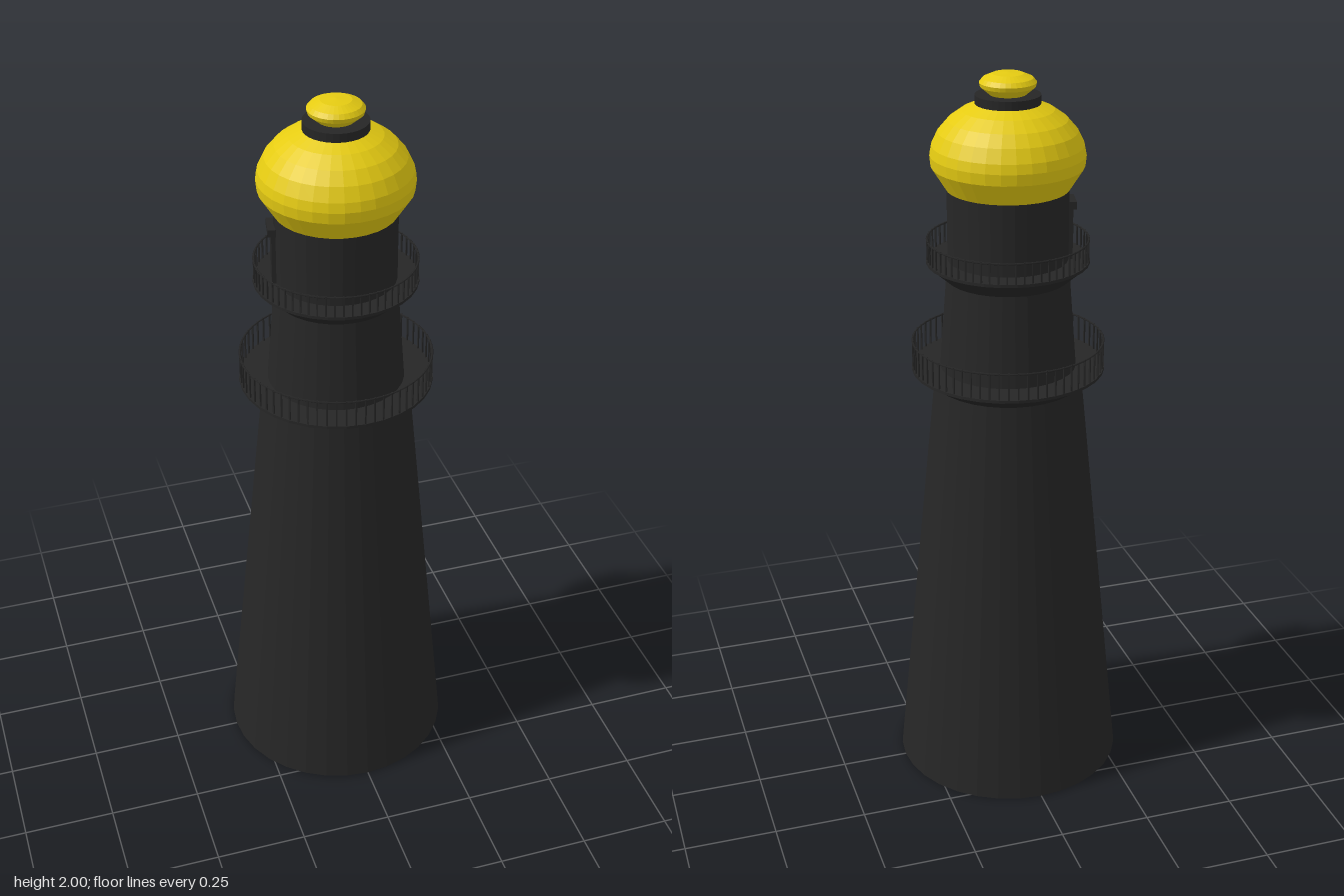
import * as THREE from 'three';
import { mergeGeometries } from 'three/addons/utils/BufferGeometryUtils.js';

const SIDES = 32;

// Faceted solid of revolution from [radius, y] pairs, listed bottom to top
function turned(profile) {
  const points = profile.map(([r, y]) => new THREE.Vector2(r, y));
  const geometry = new THREE.LatheGeometry(points, SIDES).toNonIndexed();
  geometry.computeVertexNormals();
  return geometry;
}

// Ring of slim balusters under a handrail
function railing(radius, bottom, top, count) {
  const parts = [];
  const height = top - bottom;
  for (let i = 0; i < count; i++) {
    const post = new THREE.BoxGeometry(0.004, height, 0.004);
    post.translate(0, bottom + height / 2, radius);
    post.rotateY((i / count) * Math.PI * 2);
    parts.push(post);
  }
  const rail = new THREE.TorusGeometry(radius, 0.003, 4, 64);
  rail.rotateX(Math.PI / 2);
  rail.translate(0, top - 0.003, 0);
  parts.push(rail);
  return mergeGeometries(parts);
}

export function createModel() {
  const model = new THREE.Group();
  model.name = 'lighthouse';

  const black = new THREE.MeshStandardMaterial({ color: 0x262626 });
  black.name = 'black paint';
  const yellow = new THREE.MeshStandardMaterial({ color: 0xe5cb12 });
  yellow.name = 'yellow paint';

  const add = (name, geometry, material, parent = model) => {
    const mesh = new THREE.Mesh(geometry, material);
    mesh.name = name;
    parent.add(mesh);
    return mesh;
  };

  // Tapered tower in two stages and the straight lantern room
  add('lowerTower', turned([[0, 0], [0.316, 0], [0.2, 1.17], [0, 1.17]]), black);
  add('upperTower', turned([[0.187, 1.17], [0.163, 1.48]]), black);
  add('lanternRoom', turned([[0.16, 1.46], [0.16, 1.71]]), black);

  // Two flared galleries with railings
  const galleries = [
    { name: 'lowerGallery', inner: 0.198, outer: 0.261, bottom: 1.16, deck: 1.208, top: 1.282, posts: 64 },
    { name: 'upperGallery', inner: 0.163, outer: 0.217, bottom: 1.455, deck: 1.508, top: 1.565, posts: 60 },
  ];
  for (const g of galleries) {
    const group = new THREE.Group();
    group.name = g.name;
    model.add(group);
    add('deck', turned([
      [g.inner - 0.02, g.bottom], [g.inner, g.bottom], [g.outer - 0.003, g.deck - 0.008],
      [g.outer, g.deck - 0.008], [g.outer, g.deck], [g.inner - 0.02, g.deck],
    ]), black, group);
    add('railing', railing(g.outer - 0.004, g.deck, g.top, g.posts), black, group);
  }

  // Door onto the upper gallery, with a small hood
  const door = new THREE.Group();
  door.name = 'galleryDoor';
  door.rotation.y = -0.2;
  model.add(door);
  add('doorPanel', new THREE.BoxGeometry(0.02, 0.14, 0.06), black, door).position.set(-0.158, 1.575, 0);
  add('doorHood', new THREE.BoxGeometry(0.03, 0.02, 0.07), black, door).position.set(-0.162, 1.655, 0);

  // Bulbous dome, collar and finial
  add('dome', turned([
    [0, 1.7], [0.162, 1.7], [0.2, 1.76], [0.203, 1.79], [0.198, 1.815],
    [0.181, 1.85], [0.155, 1.88], [0.12, 1.905], [0.08, 1.923], [0, 1.925],
  ]), yellow);
  add('collar', turned([[0, 1.918], [0.085, 1.918], [0.085, 1.944], [0, 1.944]]), black);
  add('finial', turned([
    [0, 1.942], [0.045, 1.942], [0.071, 1.964], [0.074, 1.975],
    [0.065, 1.986], [0.04, 1.997], [0, 2],
  ]), yellow);

  return model;
}
